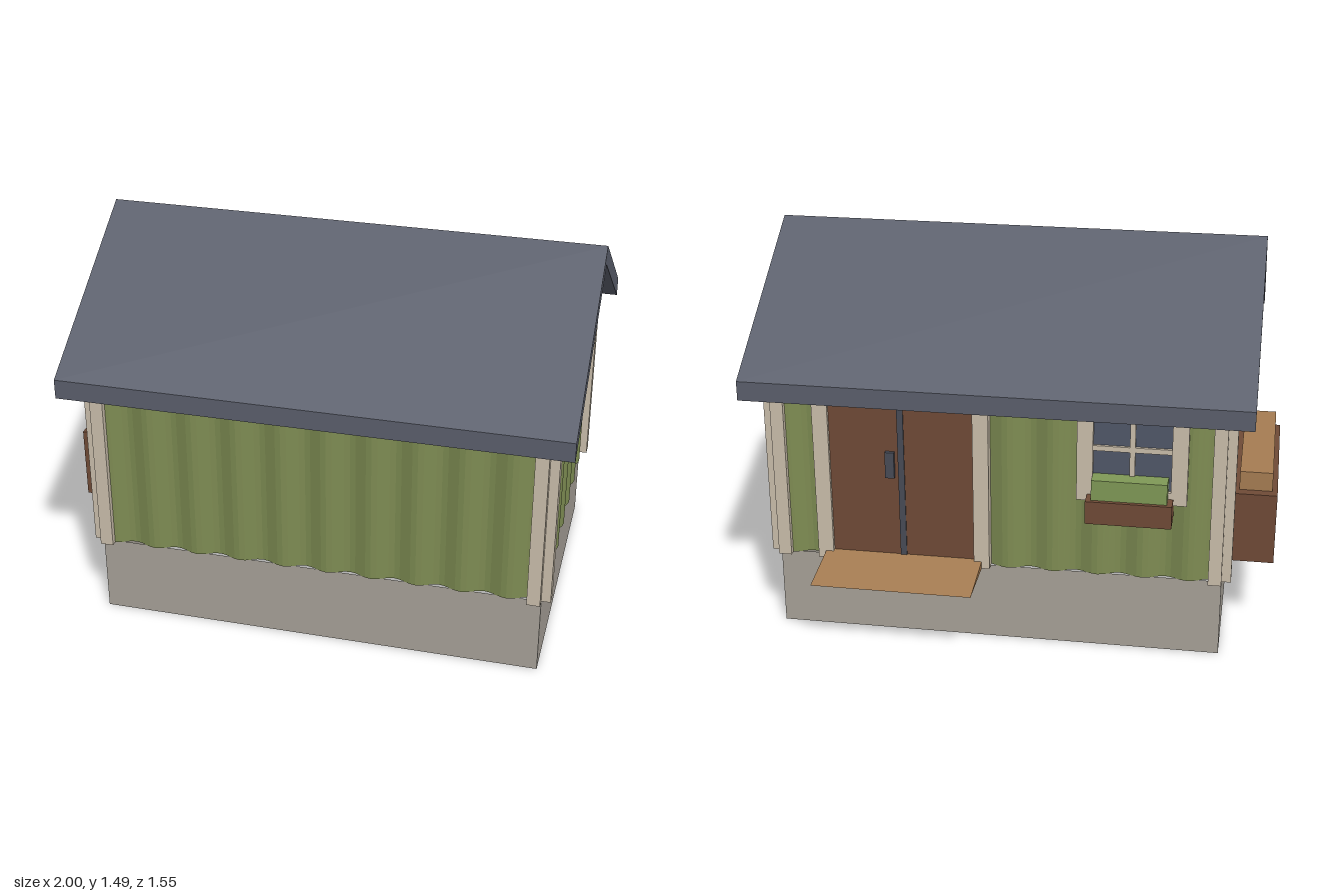
import * as THREE from 'three';

const mat = (name, color, extra = {}) => {
  const m = new THREE.MeshStandardMaterial({ color, ...extra });
  m.name = name;
  return m;
};

export function createModel() {
  const siding = mat('green siding', 0x7d8b52, { side: THREE.DoubleSide, flatShading: true });
  const stone = mat('foundation grey', 0xa6a097, { side: THREE.DoubleSide });
  const cream = mat('cream trim', 0xc9bdaa);
  const slate = mat('slate roof', 0x5a5e6b);
  const brown = mat('dark brown wood', 0x6f4a36);
  const tan = mat('tan wood', 0xa57c52);
  const leaf = mat('leaf green', 0x7f9856);
  const metal = mat('dark metal', 0x474b56);
  const glass = mat('window glass', 0x505767);

  const root = new THREE.Group();
  root.name = 'cabin';
  const house = new THREE.Group();
  house.name = 'house';
  house.position.set(0.045, 0, 0.0775);
  root.add(house);

  const add = (parent, name, geo, material) => {
    const m = new THREE.Mesh(geo, material);
    m.name = name;
    parent.add(m);
    return m;
  };
  // box given by its minimum and maximum corners
  const block = (parent, name, material, x0, x1, y0, y1, z0, z1) => {
    const m = add(parent, name, new THREE.BoxGeometry(x1 - x0, y1 - y0, z1 - z0), material);
    m.position.set((x0 + x1) / 2, (y0 + y1) / 2, (z0 + z1) / 2);
    return m;
  };

  const HX = 0.855, HZ = 0.5875, BASE = 0.31, SLOPE = 0.435 / 0.7, APEX = 1.415;

  // upright sheet with optional waves and a top edge that follows a rule
  const sheet = (len, y0, topAt, waves) => {
    const g = new THREE.PlaneGeometry(len, 1, waves ? waves * 8 : 1, 1);
    const p = g.attributes.position;
    for (let i = 0; i < p.count; i++) {
      const x = p.getX(i);
      const t = (x / len + 0.5) * waves;
      p.setY(i, p.getY(i) > 0 ? topAt(x) : y0);
      p.setZ(i, 0.013 * Math.sin(t * Math.PI * 2));
    }
    g.computeVertexNormals();
    return g;
  };

  // four sides: foundation skirt, corrugated wall, gable
  const gable = new THREE.Shape([
    new THREE.Vector2(-HZ, 1.07), new THREE.Vector2(HZ, 1.07), new THREE.Vector2(0, APEX + 0.02),
  ]);
  ['front', 'left', 'back', 'right'].forEach((side, i) => {
    const end = i % 2 === 1;
    const g = new THREE.Group();
    g.name = side + 'Side';
    g.rotation.y = i * Math.PI / 2;
    house.add(g);
    const len = 2 * (end ? HZ : HX), off = end ? HX : HZ;
    const top = end ? x => Math.min(1.125, APEX - Math.abs(x) * SLOPE + 0.03) : () => 1.08;
    add(g, 'foundation', sheet(len, 0, () => BASE, 0), stone).position.z = off;
    add(g, 'corrugatedWall', sheet(len, BASE, top, end ? 7 : 10), siding).position.z = off;
    if (end) add(g, 'gable', new THREE.ShapeGeometry(gable), siding).position.z = off;
  });

  // pairs of corner boards with an open notch between them
  for (const sx of [-1, 1]) for (const sz of [-1, 1]) {
    const put = (name, w, h, d, x, z) => {
      const m = add(house, name, new THREE.BoxGeometry(w, h, d), cream);
      m.position.set(sx * x, BASE + h / 2, sz * z);
    };
    put('cornerBoardLong', 0.05, 0.755, 0.055, HX - 0.025, HZ + 0.0075);
    put('cornerBoardEnd', 0.055, 0.785, 0.055, HX + 0.0075, HZ - 0.0275);
  }

  // roof chevron swept along the ridge
  const chevron = new THREE.Shape([
    [-0.702, 0.98], [0, APEX], [0.702, 0.98], [0.702, 1.055], [0, 1.49], [-0.702, 1.055],
  ].map(([x, y]) => new THREE.Vector2(x, y)));
  const roofGeo = new THREE.ExtrudeGeometry(chevron, { depth: 1.9, bevelEnabled: false });
  roofGeo.translate(0, 0, -0.95).rotateY(Math.PI / 2);
  add(house, 'roof', roofGeo, slate);

  // double door on the back
  const door = new THREE.Group();
  door.name = 'doubleDoor';
  root.add(door);
  block(door, 'doorLeaf', brown, 0.13, 0.40, BASE, 1.03, -0.53, -0.50);
  block(door, 'doorLeaf', brown, 0.41, 0.68, BASE, 1.03, -0.53, -0.50);
  block(door, 'doorSeam', metal, 0.393, 0.417, BASE, 1.03, -0.535, -0.50);
  block(door, 'doorHandle', metal, 0.43, 0.465, 0.665, 0.77, -0.545, -0.52);
  for (const x of [0.07, 0.68]) block(door, 'doorTrim', cream, x, x + 0.06, BASE, 1.06, -0.545, -0.49);

  // wedge ramp at the door
  const wedge = new THREE.Shape([
    new THREE.Vector2(0.51, BASE), new THREE.Vector2(0.775, BASE), new THREE.Vector2(0.51, 0.343),
  ]);
  const rampGeo = new THREE.ExtrudeGeometry(wedge, { depth: 0.61, bevelEnabled: false });
  rampGeo.rotateY(Math.PI / 2);
  add(root, 'ramp', rampGeo, tan).position.x = 0.1;
  root.getObjectByName('ramp').geometry.translate(0, 0, 0);

  // window with frame, crossed bars and planter
  const win = new THREE.Group();
  win.name = 'window';
  root.add(win);
  block(win, 'glass', glass, -0.62, -0.31, 0.68, 1.0, -0.527, -0.50);
  for (const x of [-0.67, -0.32]) block(win, 'sideTrim', cream, x, x + 0.06, 0.63, 1.04, -0.545, -0.49);
  for (const y of [0.63, 0.99]) block(win, 'crossTrim', cream, -0.61, -0.32, y, y + 0.05, -0.545, -0.49);
  block(win, 'uprightBar', cream, -0.475, -0.455, 0.68, 0.99, -0.538, -0.51);
  block(win, 'levelBar', cream, -0.61, -0.32, 0.83, 0.85, -0.538, -0.51);
  block(win, 'planter', brown, -0.62, -0.30, 0.565, 0.655, -0.61, -0.51);
  block(win, 'plants', leaf, -0.60, -0.32, 0.655, 0.735, -0.595, -0.525);

  // storage chest against the right wall
  block(root, 'chest', brown, -1, -0.815, BASE, 0.595, -0.33, 0.36);
  block(root, 'chestTop', tan, -0.98, -0.855, 0.595, 0.67, -0.29, 0.32);

  return root;
}
